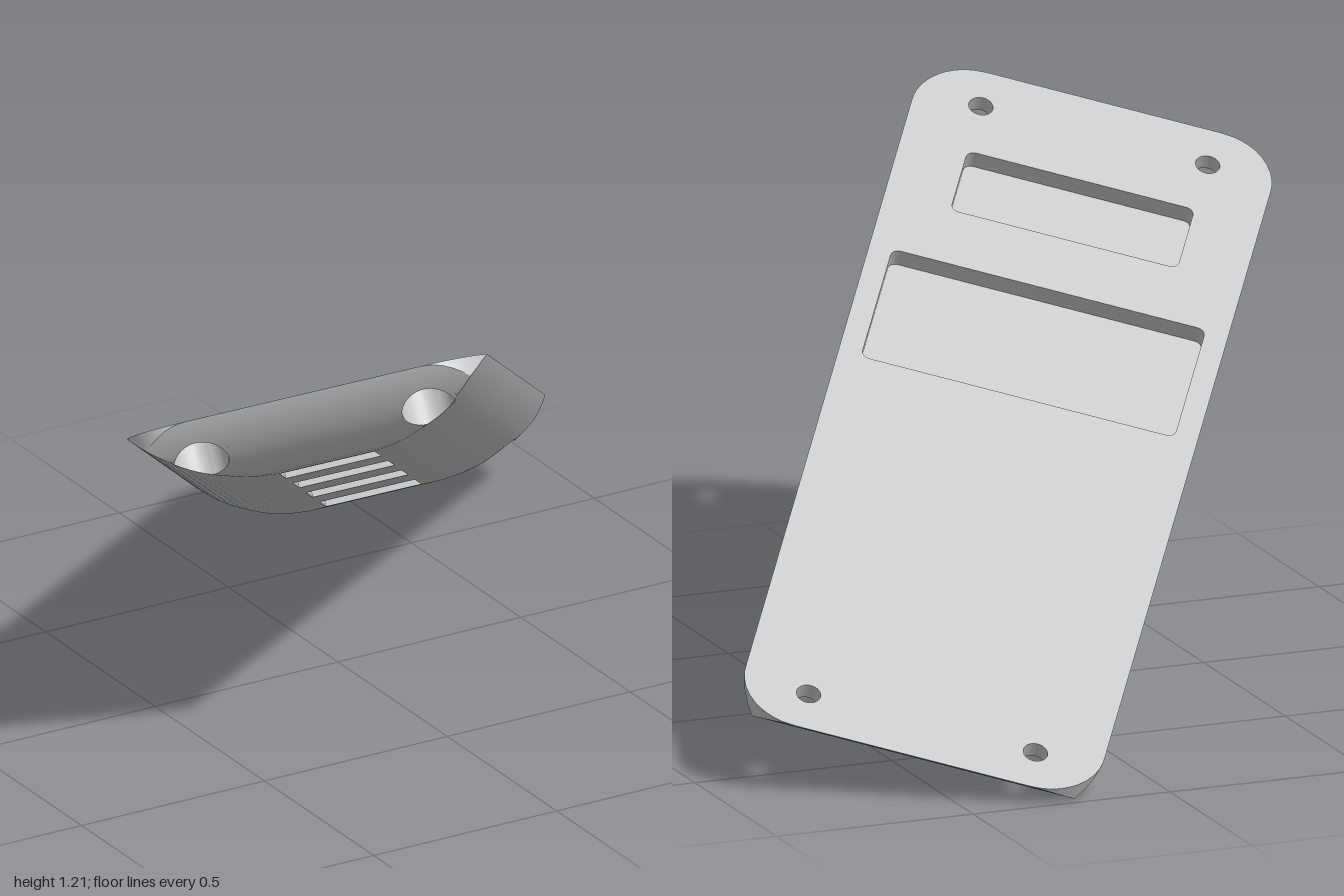
import * as THREE from 'three';
import { toCreasedNormals } from 'three/addons/utils/BufferGeometryUtils.js';

// Plate frame: x across, y out of the flat face, z along the length
const HALF_W = 0.435, HALF_L = 1.145, CORNER = 0.15;
const DEPTH = 0.15, RUN = 0.315, FLAT_W = HALF_W - RUN, FLAT_L = HALF_L - RUN;
const ARC = (RUN * RUN + DEPTH * DEPTH) / (2 * DEPTH);

// Depth of the rounded underside below the flat face
function depth(x, z) {
  const t = Math.min(RUN, Math.max(0, Math.abs(x) - FLAT_W, Math.abs(z) - FLAT_L));
  return DEPTH - (ARC - Math.sqrt(ARC * ARC - t * t));
}

// Half width of the rounded outline at a given length
function halfWidth(z) {
  const t = Math.min(CORNER, Math.max(0, Math.abs(z) - (HALF_L - CORNER)));
  return HALF_W - CORNER + Math.sqrt(CORNER * CORNER - t * t);
}

// Loops are lists of [x, z], running from +x towards +z
function circle(cx, cz, r, n = 32) {
  return Array.from({ length: n }, (_, i) => {
    const a = (i / n) * Math.PI * 2;
    return [cx + r * Math.cos(a), cz + r * Math.sin(a)];
  });
}

function roundedRect(cx, cz, hx, hz, r) {
  const loop = [];
  [[1, 1], [-1, 1], [-1, -1], [1, -1]].forEach(([sx, sz], q) => {
    for (let i = 0; i <= 4; i++) {
      const a = (q + i / 4) * Math.PI / 2;
      loop.push([cx + sx * (hx - r) + r * Math.cos(a), cz + sz * (hz - r) + r * Math.sin(a)]);
    }
  });
  return loop;
}

// Flat face at height y, with holes, facing up or down
function flatFace(loop, holes, y, up) {
  const s = up ? -1 : 1;
  const toPoints = (l) => l.map(([x, z]) => new THREE.Vector2(x, s * z));
  const shape = new THREE.Shape(toPoints(loop));
  shape.holes = holes.map((h) => new THREE.Path(toPoints(h)));
  return new THREE.ShapeGeometry(shape).rotateX(s * Math.PI / 2).translate(0, y, 0);
}

// Collects quads into one geometry, dropping empty triangles
function quadBuilder() {
  const pos = [];
  const tri = (...p) => {
    const [a, b, c] = p.map((v) => new THREE.Vector3(...v));
    if (b.clone().sub(a).cross(c.clone().sub(a)).length() < 1e-9) return;
    p.forEach((v) => pos.push(...v));
  };
  return {
    quad(a, b, c, d) { tri(a, b, c); tri(a, c, d); },
    build() {
      const g = new THREE.BufferGeometry();
      g.setAttribute('position', new THREE.Float32BufferAttribute(pos, 3));
      return toCreasedNormals(g, 0.45);
    },
  };
}

// Wall around a loop between two heights, facing out or in
function wall(loop, top, bottom, inward) {
  const b = quadBuilder();
  loop.forEach(([x, z], i) => {
    const [x2, z2] = loop[(i + 1) % loop.length];
    const q = [[x, bottom(x, z), z], [x, top(x, z), z], [x2, top(x2, z2), z2], [x2, bottom(x2, z2), z2]];
    b.quad(...(inward ? q.reverse() : q));
  });
  return b.build();
}

export function createModel() {
  const grey = new THREE.MeshStandardMaterial({ color: 0xc8c8c8 });
  grey.name = 'lightGrey';
  const plate = new THREE.Group();
  plate.name = 'plate';
  const add = (name, geometry) => {
    const m = new THREE.Mesh(geometry, grey);
    m.name = name;
    plate.add(m);
  };
  const at = (y) => () => y;
  const under = (x, z) => -depth(x, z);

  // Grid lines shared by the underside and the outline
  const offsets = [0, 0.04, 0.085, 0.13, 0.155, 0.18, 0.2, 0.225, 0.25, 0.27, 0.285, 0.297, 0.306, 0.312, RUN];
  const mirrored = (list) => [...list.map((v) => -v).reverse(), ...list];
  const xs = mirrored([0.115, ...offsets.map((o) => FLAT_W + o)]);
  const zs = mirrored([0.12, 0.35, 0.585, 0.815, ...offsets.map((o) => FLAT_L + o)]);

  // Outline of the flat face
  const outline = [
    ...zs.map((z) => [halfWidth(z), z]),
    ...zs.map((z) => [-halfWidth(z), z]).reverse(),
  ];

  // Screw holes, pockets in the face and square recesses underneath
  const screws = [];
  for (const sx of [-1, 1]) for (const sz of [-1, 1]) screws.push([sx * 0.275, sz * 1.03]);
  const pockets = [roundedRect(0, 0.302, 0.38, 0.188, 0.02), roundedRect(0, 0.77, 0.275, 0.103, 0.02)];
  const recesses = [-0.7, -0.235, 0.235, 0.7];
  const HOLE = 0.029, BORE = 0.065, PATCH = 0.07, SEAT = -0.04, POCKET = -0.045;

  add('flatFace', flatFace(outline, [...pockets, ...screws.map(([x, z]) => circle(x, z, HOLE))], 0, true));
  add('rimWall', wall(outline, at(0), under, false));

  pockets.forEach((loop) => {
    add('pocketWall', wall(loop, at(0), at(POCKET), true));
    add('pocketFloor', flatFace(loop, [], POCKET, true));
  });

  // Rounded underside, leaving gaps for the recesses and counterbores
  const hull = quadBuilder();
  const point = (x, z) => {
    const w = halfWidth(z), cx = Math.max(-w, Math.min(w, x));
    return [cx, under(cx, z), z];
  };
  for (let i = 0; i < xs.length - 1; i++) {
    for (let j = 0; j < zs.length - 1; j++) {
      const mx = (xs[i] + xs[i + 1]) / 2, mz = (zs[j] + zs[j + 1]) / 2;
      if (Math.abs(mx) < 0.115 && recesses.some((z) => Math.abs(mz - z) < 0.115)) continue;
      if (screws.some(([x, z]) => Math.abs(mx - x) < PATCH && Math.abs(mz - z) < PATCH)) continue;
      const a = point(xs[i], zs[j]), b = point(xs[i + 1], zs[j]);
      const c = point(xs[i + 1], zs[j + 1]), d = point(xs[i], zs[j + 1]);
      if (mx * mz > 0) hull.quad(a, b, c, d);
      else hull.quad(b, c, d, a);
    }
  }
  // Square patches around the round counterbores
  const N = 48, RINGS = 4;
  screws.forEach(([cx, cz]) => {
    const ringPoint = (i, k) => {
      const a = (i / N) * Math.PI * 2, c = Math.cos(a), s = Math.sin(a);
      const edge = PATCH / Math.max(Math.abs(c), Math.abs(s));
      const r = BORE + (edge - BORE) * k / RINGS;
      return [cx + r * c, under(cx + r * c, cz + r * s), cz + r * s];
    };
    for (let i = 0; i < N; i++) for (let k = 0; k < RINGS; k++) {
      hull.quad(ringPoint(i, k), ringPoint(i, k + 1), ringPoint(i + 1, k + 1), ringPoint(i + 1, k));
    }
  });
  add('underside', hull.build());

  // Counterbores and through holes
  screws.forEach(([x, z]) => {
    const bore = circle(x, z, BORE, N), hole = circle(x, z, HOLE);
    add('counterboreWall', wall(bore, at(SEAT), under, true));
    add('counterboreSeat', flatFace(bore, [hole], SEAT, false));
    add('screwHole', wall(hole, at(0), at(SEAT), true));
  });

  // Square foot recesses
  recesses.forEach((z) => {
    const loop = [[0.115, z - 0.115], [0.115, z + 0.115], [-0.115, z + 0.115], [-0.115, z - 0.115]];
    add('footRecessWall', wall(loop, at(-DEPTH + 0.02), at(-DEPTH), true));
    add('footRecessFloor', flatFace(loop, [], -DEPTH + 0.02, false));
  });

  // Tilt the plate into place
  const along = new THREE.Vector3(-0.515, 0.449, 0.73).normalize();
  const normal = along.clone().cross(new THREE.Vector3(0.855, 0.232, 0.463)).normalize();
  const across = normal.clone().cross(along);
  plate.quaternion.setFromRotationMatrix(new THREE.Matrix4().makeBasis(across, normal, along));
  const model = new THREE.Group();
  model.name = 'mountingPlate';
  model.add(plate);

  // Centre it and stand it on the ground
  const box = new THREE.Box3().setFromObject(model, true);
  const centre = box.getCenter(new THREE.Vector3());
  plate.position.set(-centre.x, -box.min.y, -centre.z);
  return model;
}
